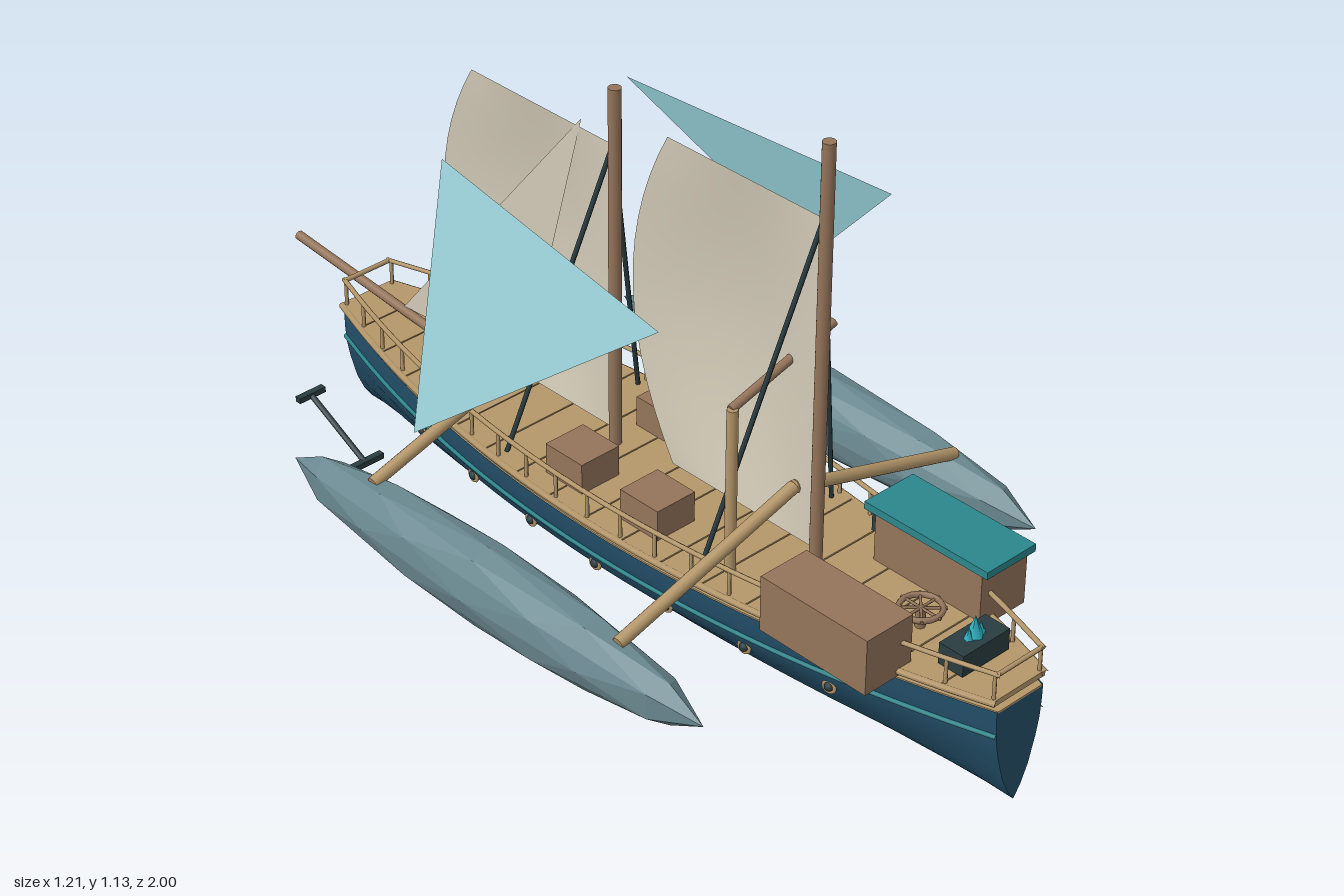
import * as THREE from 'three';

const mat = (name, color, side = THREE.FrontSide) => {
  const m = new THREE.MeshStandardMaterial({ color, side });
  m.name = name;
  return m;
};
const V = (x, y, z) => new THREE.Vector3(x, y, z);

// half-width of the ship's plan at a given z
const BACK = -0.78, FRONT = 1;
const halfWidth = (z) => 0.06 + 0.15 * (1 - ((z - 0.11) / 0.89) ** 2);
// half cross-section: fraction of half-width, height
const PROFILE = [[1, 0.225], [0.985, 0.19], [0.94, 0.155], [0.82, 0.118], [0.56, 0.062], [0.28, 0.025], [0, 0]];
const hullX = (z, y) => {
  for (let i = 1; i < PROFILE.length; i++) {
    const [f0, y0] = PROFILE[i - 1], [f1, y1] = PROFILE[i];
    if (y >= y1) return halfWidth(z) * (f1 + (f0 - f1) * (y - y1) / (y0 - y1));
  }
  return 0;
};

export function createModel() {
  const M = {
    hull: mat('hull blue', 0x24506a, THREE.DoubleSide),
    deck: mat('light wood', 0xb5976a),
    wood: mat('brown wood', 0x94745a),
    teal: mat('teal trim', 0x2b868c),
    float: mat('float grey', 0x6a8890),
    wing: mat('pale blue cloth', 0x8cc0c9, THREE.DoubleSide),
    sail: mat('sail cream', 0xd3cbb8, THREE.DoubleSide),
    iron: mat('dark iron', 0x2a3d41),
    glow: mat('bright crystal', 0x2bb4c4),
  };
  M.float.flatShading = true;
  const root = new THREE.Group();
  root.name = 'sailingShip';

  const add = (name, geo, material, x = 0, y = 0, z = 0) => {
    const m = new THREE.Mesh(geo, material);
    m.name = name;
    m.position.set(x, y, z);
    root.add(m);
    return m;
  };
  const box = (name, material, w, h, d, x, y, z) => add(name, new THREE.BoxGeometry(w, h, d), material, x, y, z);
  const rod = (name, material, a, b, r, sides = 8) => {
    const d = b.clone().sub(a);
    const m = add(name, new THREE.CylinderGeometry(r, r, d.length(), sides), material);
    m.position.copy(a).addScaledVector(d, 0.5);
    m.quaternion.setFromUnitVectors(V(0, 1, 0), d.normalize());
    return m;
  };
  // tube following the ship's side
  const sideTube = (name, material, s, r, xAt, y) => {
    const pts = [];
    for (let i = 0; i <= 16; i++) {
      const z = BACK + (FRONT - BACK) * i / 16;
      pts.push(V(s * xAt(z), y, z));
    }
    add(name, new THREE.TubeGeometry(new THREE.CatmullRomCurve3(pts), 40, r, 6), material);
  };

  // hull shell lofted from cross-sections
  const ring = [...PROFILE, ...PROFILE.slice(0, -1).reverse().map(([f, y]) => [-f, y])];
  const n = ring.length, steps = 28, pos = [], idx = [];
  for (let i = 0; i <= steps; i++) {
    const z = BACK + (FRONT - BACK) * i / steps;
    for (const [f, y] of ring) pos.push(f * halfWidth(z), y, z);
    if (i < steps) for (let j = 0; j < n - 1; j++) {
      const a = i * n + j;
      idx.push(a, a + n, a + 1, a + 1, a + n, a + n + 1);
    }
  }
  const hull = new THREE.BufferGeometry();
  hull.setAttribute('position', new THREE.Float32BufferAttribute(pos, 3));
  hull.setIndex(idx);
  hull.computeVertexNormals();
  add('hull', hull, M.hull);
  for (const z of [BACK, FRONT]) {
    const shape = new THREE.Shape(ring.map(([f, y]) => new THREE.Vector2(f * halfWidth(z), y)));
    const end = add('hullEnd', new THREE.ShapeGeometry(shape), M.hull, 0, 0, z);
    if (z === BACK) end.rotation.y = Math.PI;
  }

  // slab in plan between two z values
  const planSlab = (z0, z1, extra, h) => {
    const right = [], left = [];
    for (let i = 0; i <= 6; i++) {
      const z = z0 + (z1 - z0) * i / 6, w = halfWidth(z) + extra;
      right.push(new THREE.Vector2(w, -z));
      left.unshift(new THREE.Vector2(-w, -z));
    }
    const g = new THREE.ExtrudeGeometry(new THREE.Shape([...right, ...left]), { depth: h, bevelEnabled: false });
    return g.rotateX(-Math.PI / 2);
  };
  // hull cover and deck planks with fine seams
  const planks = 18, len = (FRONT - BACK) / planks;
  for (let i = 0; i < planks; i++) {
    const z = BACK + i * len;
    add('hullCover', planSlab(z, z + len, -0.003, 0.004), M.deck, 0, 0.221, 0);
    add('deckPlank', planSlab(z, z + len - 0.003, 0.006, 0.012), M.deck, 0, 0.238, 0);
  }

  // both sides: trim, railing, portholes, floats, anchors, wings
  for (const s of [1, -1]) {
    sideTube('hullTrim', M.teal, s, 0.005, (z) => hullX(z, 0.17) + 0.001, 0.17);
    sideTube('gunwale', M.deck, s, 0.007, (z) => halfWidth(z) + 0.004, 0.245);
    sideTube('handrail', M.deck, s, 0.005, (z) => halfWidth(z) - 0.004, 0.303);
    for (let i = 0; i <= 20; i++) {
      const z = BACK + 0.01 + (FRONT - BACK - 0.02) * i / 20, x = s * (halfWidth(z) - 0.004);
      rod('railPost', M.deck, V(x, 0.245, z), V(x, 0.303, z), 0.004, 6);
    }
    for (let i = 0; i < 7; i++) {
      const z = 0.67 - i * 0.187, x = s * (hullX(z, 0.134) + 0.002);
      const yaw = Math.atan2(s, (hullX(z - 0.02, 0.134) - hullX(z + 0.02, 0.134)) / 0.04);
      add('portholeRing', new THREE.TorusGeometry(0.012, 0.004, 6, 14), M.deck, x, 0.134, z).rotation.y = yaw;
      add('portholeGlass', new THREE.SphereGeometry(0.01, 10, 6), M.iron, x, 0.134, z);
    }
    const float = add('outriggerFloat', new THREE.IcosahedronGeometry(1, 1), M.float, s * 0.432, 0.195, 0.09);
    float.scale.set(0.07, 0.086, 0.565);
    for (const z of [0.44, -0.235])
      rod('outriggerBeam', M.deck, V(s * 0.435, 0.258, z), V(0, 0.388, z), 0.013, 10);

    rod('anchorShank', M.iron, V(s * 0.243, 0.165, -0.665), V(s * 0.243, 0.083, -0.5), 0.006);
    box('anchorStock', M.iron, 0.065, 0.012, 0.014, s * 0.243, 0.165, -0.665);
    box('anchorFoot', M.iron, 0.085, 0.012, 0.014, s * 0.243, 0.083, -0.5);

    const wing = new THREE.BufferGeometry().setFromPoints(
      [V(s * 0.23, 0.872, -0.25), V(s * 0.19, 0.728, 0.283), V(s * 0.603, 0.615, 0.1)]);
    wing.setIndex(s > 0 ? [0, 1, 2] : [0, 2, 1]);
    wing.computeVertexNormals();
    add('sideWing', wing, M.wing);

    // deck crates
    for (const z of [0, 0.205]) box('deckCrate', M.wood, 0.095, 0.07, 0.1, s * 0.117, 0.28, z);
    // shrouds
    rod('shroud', M.iron, V(0, 0.98, 0.495), V(s * 0.172, 0.245, 0.373), 0.005, 6);
    rod('shroud', M.iron, V(0, 0.9, -0.04), V(s * 0.172, 0.245, -0.155), 0.005, 6);
  }
  // end rails
  for (const z of [BACK + 0.005, FRONT - 0.006])
    rod('endRail', M.deck, V(-0.06, 0.303, z), V(0.06, 0.303, z), 0.005, 6);

  // masts and bowsprit
  rod('mainMast', M.wood, V(0, 0.23, 0.5), V(0, 1.13, 0.5), 0.013, 12);
  rod('secondMast', M.wood, V(0, 0.23, -0.035), V(0, 1.02, -0.035), 0.013, 12);
  rod('bowsprit', M.wood, V(0, 0.247, -0.5), V(0, 0.29, -0.996), 0.01, 10);

  // bulging sails with a curved trailing edge
  const sail = (name, zMast, top, bottom) => {
    const g = new THREE.PlaneGeometry(1, 1, 10, 14), p = g.attributes.position;
    for (let i = 0; i < p.count; i++) {
      const u = p.getX(i) + 0.5, v = p.getY(i) + 0.5;
      const width = 0.385 - 0.02 * (1 - v) + 0.4 * v * (1 - v);
      p.setXYZ(i, 0.035 * Math.sin(Math.PI * u) * Math.sin(Math.PI * v), bottom + (top - bottom) * v, zMast - width * u);
    }
    g.computeVertexNormals();
    add(name, g, M.sail);
  };
  sail('mainSail', 0.488, 0.975, 0.28);
  sail('secondSail', -0.047, 0.9, 0.28);
  const jib = new THREE.BufferGeometry().setFromPoints([V(0, 0.92, -0.125), V(0.004, 0.29, -0.3), V(0, 0.27, -0.66)]);
  jib.setIndex([0, 1, 2]);
  jib.computeVertexNormals();
  add('jib', jib, M.sail);

  // cargo crane
  rod('cranePost', M.deck, V(-0.13, 0.245, 0.41), V(-0.13, 0.6, 0.41), 0.011);
  rod('craneArm', M.wood, V(-0.13, 0.597, 0.405), V(0.128, 0.67, 0.405), 0.009);

  // cabins
  box('openCabin', M.wood, 0.115, 0.118, 0.26, -0.145, 0.294, 0.69);
  box('cabin', M.wood, 0.12, 0.12, 0.26, 0.145, 0.293, 0.695);
  box('cabinRoof', M.teal, 0.128, 0.016, 0.3, 0.145, 0.36, 0.69);
  box('cabinLatch', M.iron, 0.065, 0.04, 0.008, 0.145, 0.305, 0.536);
  box('cabinLatchArm', M.iron, 0.012, 0.012, 0.03, 0.145, 0.305, 0.552);

  // steering wheel
  rod('wheelPost', M.wood, V(0, 0.245, 0.76), V(0, 0.29, 0.76), 0.01);
  add('wheelRim', new THREE.TorusGeometry(0.04, 0.006, 6, 20), M.wood, 0, 0.29, 0.76).rotation.x = Math.PI / 2;
  for (let i = 0; i < 4; i++) {
    const a = i * Math.PI / 4, x = 0.048 * Math.cos(a), z = 0.048 * Math.sin(a);
    rod('wheelSpoke', M.wood, V(-x, 0.29, 0.76 - z), V(x, 0.29, 0.76 + z), 0.003, 6);
  }

  // brazier with crystals
  box('brazier', M.iron, 0.12, 0.045, 0.058, 0, 0.277, 0.888);
  const crystals = [[0, 0.022, 0.045], [0.016, 0.012, 0.025], [-0.016, 0.012, 0.028]];
  for (const [x, r, h] of crystals)
    add('crystal', new THREE.ConeGeometry(r * 0.8, h, 5), M.glow, x, 0.298 + h / 2, 0.888);

  return root;
}
